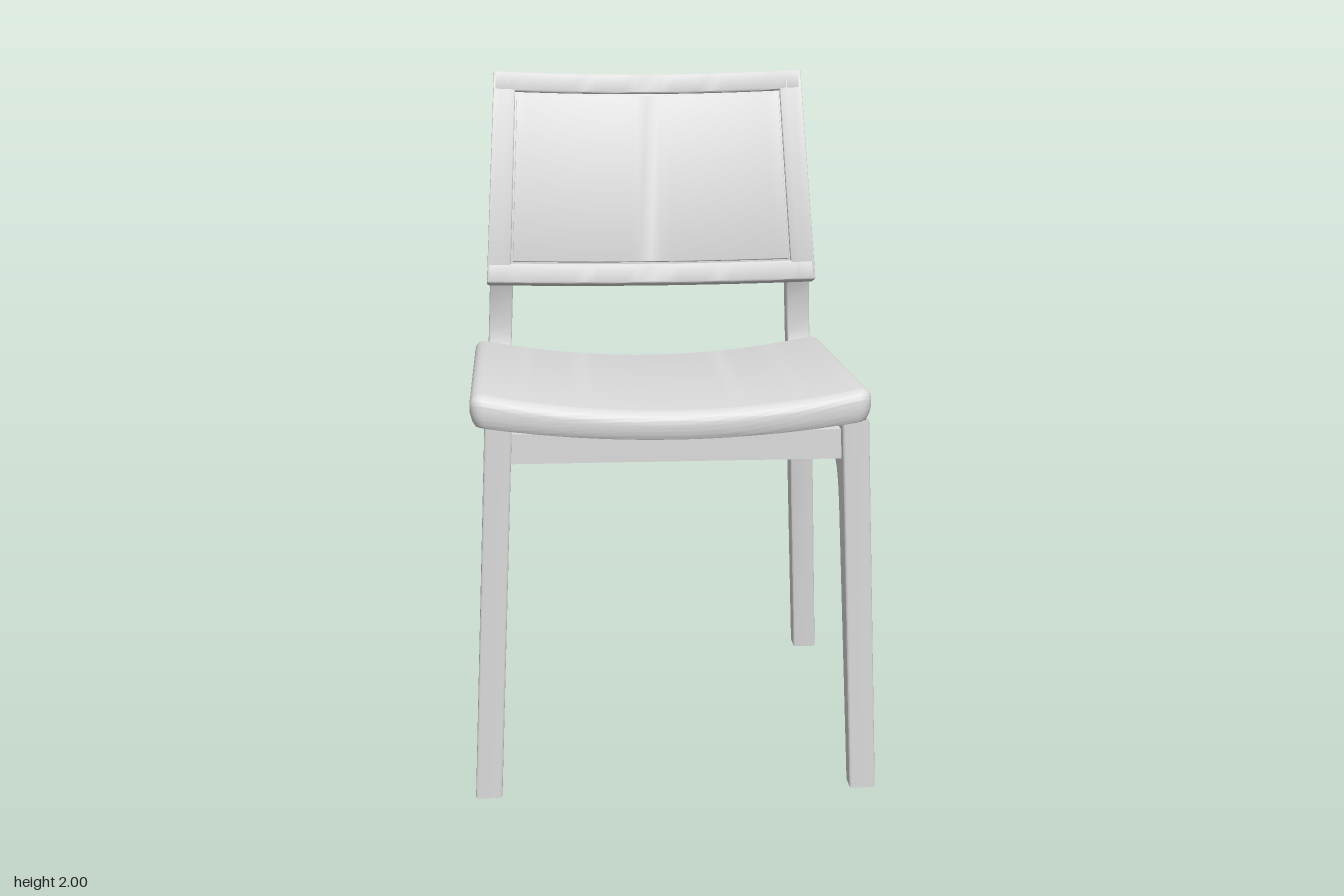
import * as THREE from 'three';
import { toCreasedNormals } from 'three/addons/utils/BufferGeometryUtils.js';

const grey = new THREE.MeshStandardMaterial({ color: 0xdcdcdc });
grey.name = 'lightGrey';

// Extrudes a side outline (x = towards the back, y = up) along the width, then moves each vertex by a rule
function sweep(shape, width, bevel, steps, move, curveSegments = 8) {
  const geo = new THREE.ExtrudeGeometry(shape, {
    depth: width - 2 * bevel, steps, curveSegments,
    bevelThickness: bevel, bevelSize: bevel, bevelOffset: -bevel, bevelSegments: 4,
  });
  geo.translate(0, 0, bevel - width / 2);
  geo.rotateY(Math.PI / 2);
  const p = geo.attributes.position, v = new THREE.Vector3();
  for (let i = 0; i < p.count; i++) {
    v.fromBufferAttribute(p, i);
    move(v);
    p.setXYZ(i, v.x, v.y, v.z);
  }
  return toCreasedNormals(geo, 0.6);
}

// Rounded rectangle from corner (x, y)
function roundRect(x, y, w, h, r) {
  return new THREE.Shape()
    .moveTo(x + r, y)
    .lineTo(x + w - r, y).absarc(x + w - r, y + r, r, -Math.PI / 2, 0, false)
    .lineTo(x + w, y + h - r).absarc(x + w - r, y + h - r, r, 0, Math.PI / 2, false)
    .lineTo(x + r, y + h).absarc(x + r, y + h - r, r, Math.PI / 2, Math.PI, false)
    .lineTo(x, y + r).absarc(x + r, y + r, r, Math.PI, Math.PI * 1.5, false);
}

function add(parent, name, geo) {
  const mesh = new THREE.Mesh(geo, grey);
  mesh.name = name;
  parent.add(mesh);
  return mesh;
}

// Outline of one side: front leg, apron, rear leg and upright in one piece
function sideOutline() {
  const s = new THREE.Shape();
  s.moveTo(-0.56, 0);
  s.lineTo(-0.62, 0);
  s.lineTo(-0.64, 1.11);
  s.lineTo(0.18, 1.07);
  s.bezierCurveTo(0.25, 1.05, 0.27, 1.01, 0.38, 1.01);
  s.bezierCurveTo(0.49, 1.01, 0.54, 1.08, 0.535, 1.18);
  s.bezierCurveTo(0.53, 1.29, 0.5, 1.34, 0.47, 1.42);
  s.lineTo(0.5, 1.72);
  s.lineTo(0.54, 1.72);
  s.bezierCurveTo(0.585, 1.58, 0.59, 1.4, 0.6, 1.2);
  s.lineTo(0.67, 0);
  s.lineTo(0.603, 0);
  s.lineTo(0.545, 0.6);
  s.bezierCurveTo(0.53, 0.75, 0.52, 0.84, 0.48, 0.85);
  s.bezierCurveTo(0.2, 0.94, -0.1, 0.98, -0.44, 0.965);
  s.bezierCurveTo(-0.51, 0.96, -0.53, 0.92, -0.535, 0.8);
  return s;
}

function buildSeat() {
  const w = 1.115, d = 1.05, h = 0.08;
  return sweep(roundRect(-d / 2, -h / 2, d, h, 0.039), w, 0.036, 24, v => {
    const k = (v.x / (w / 2)) ** 2;
    const top = v.y > 0;
    // soft rounded upper edge, squarer lower edge that tucks in slightly
    if (!top) {
      v.y = Math.max(-h / 2, v.y * 1.6);
      v.x *= 1 + 0.3 * v.y;
    }
    v.y += 1.083 + (top ? 0.06 : 0.045) * k + 0.045 * v.z;
    v.z += 0.145;
    v.x -= 0.018;
  });
}

// Curved backrest: rails, stiles and an inset panel, sharing one bow and taper
function buildBackrest() {
  const g = new THREE.Group();
  g.name = 'backrest';
  const H = 0.688, half = 0.53, rail = 0.065, stile = 0.075, depth = 0.065;
  const piece = (name, cx, w, u, h, n, t, r) => add(g, name, sweep(
    roundRect(n, u, t, h, r * 1.15), w, r, w > 0.2 ? 24 : 3, v => {
      v.x += cx;
      v.z -= 0.06 * (1 - (v.x / half) ** 2);
      v.x *= 1 - 0.062 * v.y / H;
    }, 4));
  piece('bottomRail', 0, 2 * half, 0, rail, 0, depth, 0.006);
  piece('topRail', 0, 2 * half, H - rail, rail, 0, depth, 0.006);
  for (const s of [-1, 1])
    piece('backStile', s * (half - stile / 2), stile, 0.012, H - 0.024, 0, depth, 0.004);
  const gap = 0.006;
  piece('backPanel', 0, 2 * (half - stile - gap), rail + gap, H - 2 * (rail + gap), 0, 0.012, 0.002);
  piece('panelBacking', 0, 2 * (half - stile) + 0.02, rail - 0.01, H - 2 * rail + 0.02, 0.01, 0.012, 0.002);
  g.rotation.x = -0.287;
  g.position.set(-0.005, 1.34, -0.355);
  return g;
}

export function createModel() {
  const chair = new THREE.Group();
  chair.name = 'chair';

  add(chair, 'seat', buildSeat());
  chair.add(buildBackrest());

  // Leaning side frames
  for (const s of [-1, 1])
    add(chair, s > 0 ? 'leftSideFrame' : 'rightSideFrame',
      sweep(sideOutline(), 0.076, 0.007, 1, v => { v.x += s * (0.543 - 0.041 * v.y); }, 12));

  // Cross rails under the seat
  const box = (name, w, h, d, x, y, z, ry = 0) => {
    const m = add(chair, name, new THREE.BoxGeometry(w, h, d));
    m.position.set(x, y, z);
    m.rotation.y = ry;
  };
  box('frontRail', 0.95, 0.085, 0.05, 0, 1.032, 0.58);
  box('rearRail', 0.95, 0.075, 0.05, 0, 0.985, -0.23);

  // Diagonal corner braces
  for (const s of [-1, 1]) {
    box('frontBrace', 0.23, 0.06, 0.04, s * 0.385, 1.02, 0.49, s * Math.PI / 4);
    box('rearBrace', 0.23, 0.05, 0.04, s * 0.385, 0.975, -0.14, -s * Math.PI / 4);
  }
  return chair;
}
